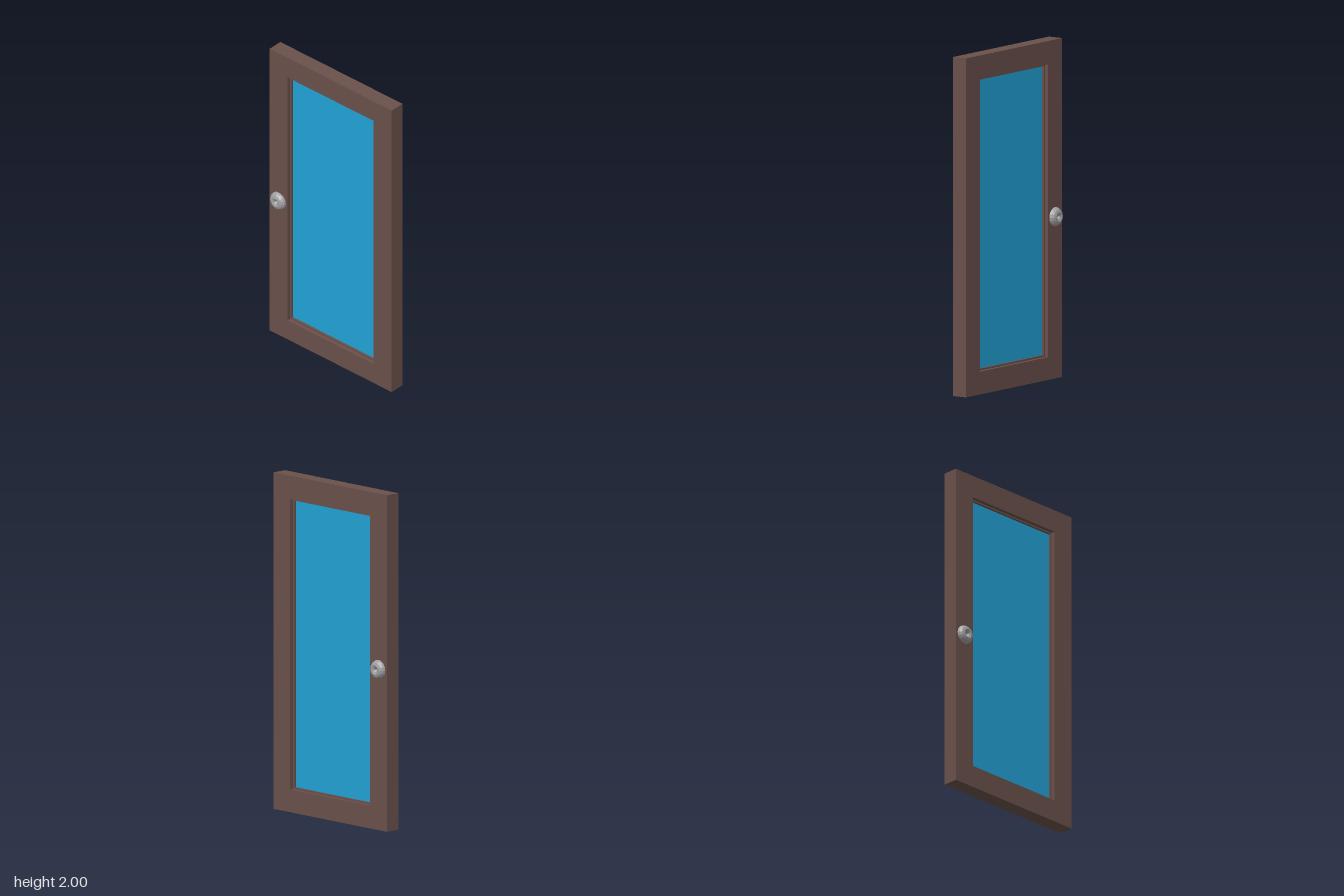
import * as THREE from 'three';

const wood = new THREE.MeshStandardMaterial({ name: 'brown wood', color: 0x6a504b });
const glass = new THREE.MeshStandardMaterial({ name: 'blue glass', color: 0x22a3d6 });
const metal = new THREE.MeshStandardMaterial({ name: 'grey metal', color: 0xa0a0a2, flatShading: true });

const X = 0.475, HOLE_X = 0.335, HOLE_Y0 = 0.135, HOLE_Y1 = 1.862;

function rectPoints(x, y0, y1) {
  return [[-x, y0], [x, y0], [x, y1], [-x, y1]].map(([a, b]) => new THREE.Vector2(a, b));
}

// Rectangular ring, extruded evenly about z = 0
function ring(name, outer, inner, depth) {
  const shape = new THREE.Shape(outer);
  shape.holes.push(new THREE.Path(inner.reverse()));
  const geometry = new THREE.ExtrudeGeometry(shape, { depth, bevelEnabled: false });
  geometry.translate(0, 0, -depth / 2);
  const mesh = new THREE.Mesh(geometry, wood);
  mesh.name = name;
  return mesh;
}

// Dimpled round knob, opening outwards along the lathe axis
function knob(name, side) {
  const profile = [[0.057, 0], [0.054, 0.012], [0.044, 0.025], [0.028, 0.031], [0.014, 0.025], [0.004, 0.012], [0, 0.008]];
  const points = profile.map(([r, h]) => new THREE.Vector2(r, h));
  const mesh = new THREE.Mesh(new THREE.LatheGeometry(points, 16), metal);
  mesh.rotation.x = side * Math.PI / 2;
  mesh.position.set(-0.405, 0.955, side * 0.047);
  mesh.name = name;
  return mesh;
}

export function createModel() {
  const door = new THREE.Group();
  door.name = 'door';

  // Outer frame and the recessed lip that holds the pane
  const lip = 0.011;
  const inner = () => rectPoints(HOLE_X, HOLE_Y0, HOLE_Y1);
  door.add(ring('frame', rectPoints(X, 0, 2), inner(), 0.094));
  door.add(ring('paneLip', inner(), rectPoints(HOLE_X - lip, HOLE_Y0 + lip, HOLE_Y1 - lip), 0.05));

  // Pane
  const pane = new THREE.Mesh(
    new THREE.BoxGeometry(2 * (HOLE_X - lip), HOLE_Y1 - HOLE_Y0 - 2 * lip, 0.024), glass);
  pane.position.y = (HOLE_Y0 + HOLE_Y1) / 2;
  pane.name = 'pane';
  door.add(pane);

  // One knob on each face
  door.add(knob('frontKnob', 1), knob('backKnob', -1));
  return door;
}
